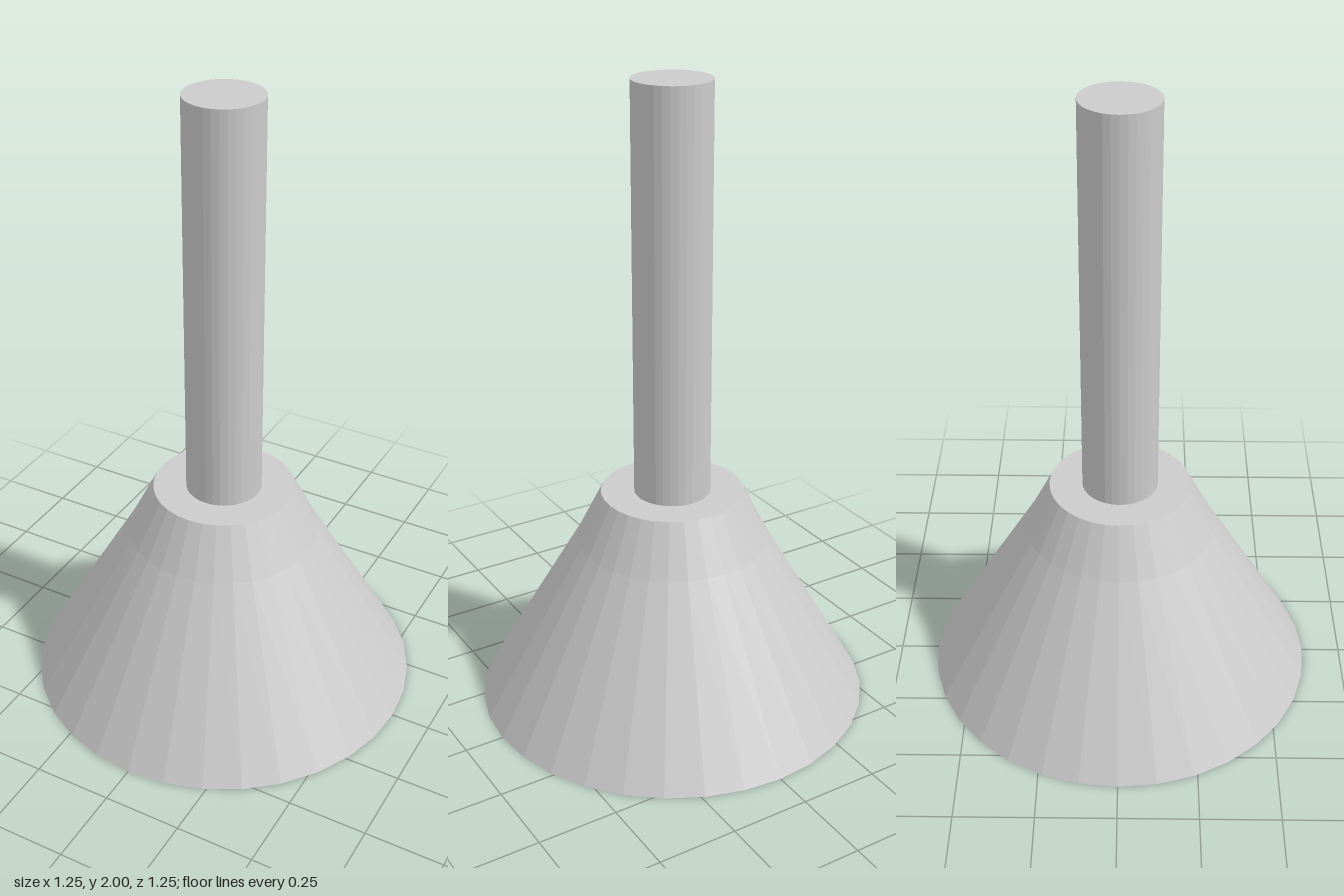
import * as THREE from 'three';

const SEGMENTS = 32;

export function createModel() {
  const group = new THREE.Group();
  const material = new THREE.MeshStandardMaterial({ color: 0xcccccc, flatShading: true });

  // Flared base: closed profile with a slightly steeper collar at the top
  const profile = [[0, 0], [0.625, 0], [0.305, 0.55], [0.225, 0.71], [0, 0.71]]
    .map(([r, y]) => new THREE.Vector2(r, y));
  const base = new THREE.Mesh(new THREE.LatheGeometry(profile, SEGMENTS), material);
  base.name = 'flaredBase';
  group.add(base);

  // Upright stem standing on the base
  const bottom = 0.71, top = 2;
  const stem = new THREE.Mesh(
    new THREE.CylinderGeometry(0.12, 0.12, top - bottom, SEGMENTS), material);
  stem.position.y = (top + bottom) / 2;
  stem.name = 'stem';
  group.add(stem);

  return group;
}
